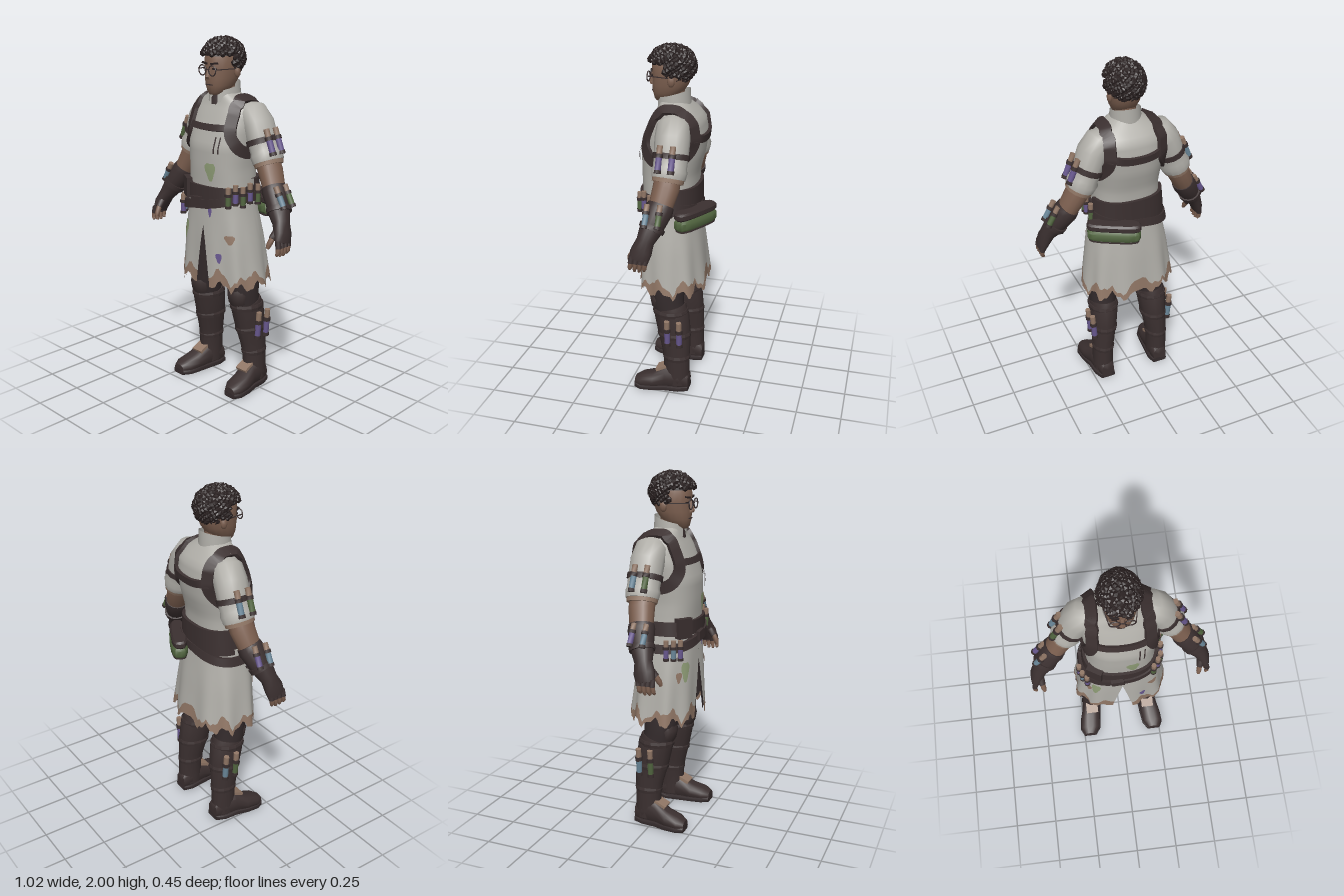
import * as THREE from 'three';
import { mergeGeometries, toCreasedNormals } from 'three/addons/utils/BufferGeometryUtils.js';

const V = (x, y, z) => new THREE.Vector3(x, y, z);
const mat = (name, color, side = THREE.FrontSide) => {
  const m = new THREE.MeshStandardMaterial({ color, side });
  m.name = name;
  return m;
};

// Body and coat profile: y, centre z, half width, half depth
const BODY = [[0.55, 0.02, 0.28, 0.193], [0.9, 0.035, 0.235, 0.17], [1.1, 0.045, 0.2, 0.15], [1.2, 0.045, 0.19, 0.15],
  [1.3, 0.045, 0.185, 0.155], [1.42, 0.03, 0.195, 0.17], [1.52, 0.01, 0.205, 0.16], [1.6, 0, 0.2, 0.135],
  [1.65, 0.01, 0.165, 0.1], [1.7, 0.03, 0.075, 0.07]];
const signPow = (c, p) => Math.sign(c) * Math.abs(c) ** p;

// Point on the coat at angle a from the front (+x is a = PI/2)
function bodyPoint(a, y, off = 0) {
  let i = 0;
  while (i < BODY.length - 2 && y > BODY[i + 1][0]) i++;
  const p = BODY[i], q = BODY[i + 1], t = (y - p[0]) / (q[0] - p[0]);
  const [zc, rx, rz] = [1, 2, 3].map((k) => p[k] + (q[k] - p[k]) * t);
  const fold = y < 1.05 ? 0.02 * (1.05 - y) * Math.sin(a * 9) : 0;
  return V(signPow(Math.sin(a), 0.8) * (rx + off + fold), y, zc + signPow(Math.cos(a), 0.8) * (rz + off + fold));
}

// Surface from a rule f(u, v)
function grid(nu, nv, f) {
  const pos = [], idx = [];
  for (let j = 0; j <= nv; j++) for (let i = 0; i <= nu; i++) pos.push(...f(i / nu, j / nv).toArray());
  for (let j = 0; j < nv; j++) for (let i = 0; i < nu; i++) {
    const a = j * (nu + 1) + i, c = a + nu + 1;
    idx.push(a, a + 1, c, a + 1, c + 1, c);
  }
  const g = new THREE.BufferGeometry();
  g.setAttribute('position', new THREE.Float32BufferAttribute(pos, 3));
  g.setIndex(idx);
  return g;
}

// Closed solid through elliptical rings [x, y, z, side radius, other radius]
function sweep(rings, { ref = V(0, 0, 1), seg = 14, pow = 1, dir = null } = {}) {
  const pos = [], idx = [], c = rings.map((r) => V(r[0], r[1], r[2])), n = rings.length;
  rings.forEach((r, i) => {
    const t = dir ? dir.clone() : c[Math.min(i + 1, n - 1)].clone().sub(c[Math.max(i - 1, 0)]).normalize();
    const side = t.clone().cross(ref).normalize(), up = side.clone().cross(t);
    for (let j = 0; j < seg; j++) {
      const w = (j / seg) * Math.PI * 2;
      pos.push(...c[i].clone().addScaledVector(side, signPow(Math.cos(w), pow) * r[3])
        .addScaledVector(up, signPow(Math.sin(w), pow) * (r[4] ?? r[3])).toArray());
    }
  });
  pos.push(...c[0].toArray(), ...c[n - 1].toArray());
  for (let j = 0; j < seg; j++) {
    const k = (j + 1) % seg, e = (n - 1) * seg;
    for (let i = 0; i < n - 1; i++) {
      const a = i * seg + j, b = i * seg + k;
      idx.push(a, a + seg, b, b, a + seg, b + seg);
    }
    idx.push(n * seg, j, k, n * seg + 1, e + k, e + j);
  }
  const g = new THREE.BufferGeometry();
  g.setAttribute('position', new THREE.Float32BufferAttribute(pos, 3));
  g.setIndex(idx);
  return g;
}

// Leather band lying on the body along [angle, y] points
function strap(path, half, off, closed = false) {
  const curve = new THREE.CatmullRomCurve3(path.map(([a, y]) => V(a, y, 0)), closed);
  const at = (t) => { const p = curve.getPoint(t); return bodyPoint(p.x, p.y); };
  const section = [[-1, -0.012], [-1, off], [1, off], [1, -0.012]];
  return grid(64, 3, (u, v) => {
    const p = curve.getPoint(u), c = bodyPoint(p.x, p.y), e = 0.004;
    const tan = at(Math.min(u + e, 1)).sub(at(Math.max(u - e, 0))).normalize();
    const nrm = bodyPoint(p.x + e, p.y).sub(bodyPoint(p.x - e, p.y))
      .cross(bodyPoint(p.x, p.y + e).sub(bodyPoint(p.x, p.y - e))).normalize();
    const [w, h] = section[Math.round(v * 3)];
    return c.addScaledVector(nrm.clone().cross(tan).normalize(), w * half).addScaledVector(nrm, h);
  });
}

export function createModel() {
  const root = new THREE.Group();
  const coat = mat('coat cloth', 0xb0aea8, THREE.DoubleSide), leather = mat('dark leather', 0x3b3030, THREE.DoubleSide);
  const trouser = mat('dark trousers', 0x342b2c, THREE.DoubleSide), hairMat = mat('black hair', 0x2a2121);
  const skin = mat('brown skin', 0x7d6050), tan = mat('tan dirt', 0x917766, THREE.DoubleSide);
  const green = mat('bottle green', 0x526640), paleGreen = mat('pale green', 0x8d9b75);
  const purple = mat('violet fluid', 0x68588f), blue = mat('blue fluid', 0x6a8799);

  const add = (name, geo, m, crease = 0.7, parent = root) => {
    const mesh = new THREE.Mesh(toCreasedNormals(geo, crease), m);
    mesh.name = name;
    parent.add(mesh);
    return mesh;
  };
  const box = (name, m, size, p, rot = [0, 0, 0]) => {
    const b = add(name, new THREE.BoxGeometry(...size), m);
    b.position.set(...p);
    b.rotation.set(...rot);
    return b;
  };
  // Glass tube with tan stopper, dark clip and base
  const vial = (p, tilt, m, len = 0.14, r = 0.016) => {
    const g = new THREE.Group();
    g.name = 'vial';
    [['glass', m, 0.55, r, -0.12], ['stopper', tan, 0.28, r * 0.95, 0.3], ['base', leather, 0.12, r * 1.15, -0.44], ['clip', leather, 0.13, r * 1.25, 0.1]]
      .forEach(([n, mm, h, rr, y]) => { add(n, new THREE.CylinderGeometry(rr, rr, h * len, 8), mm, 0.9, g).position.y = y * len; });
    g.position.set(...p);
    g.rotation.z = tilt;
    root.add(g);
  };

  // Coat body
  add('coatBody', grid(48, 24, (u, v) => bodyPoint(u * Math.PI * 2, 1.08 + v * 0.62)), coat, 0.9);

  // Split skirt with ragged, dirty hem and dark lining
  const tri = (x) => Math.abs((x - Math.floor(x)) * 2 - 1);
  const hemLow = (u) => 0.605 + 0.055 * tri(u * 11 + 0.5) + 0.025 * tri(u * 27);
  const hemHigh = (u) => hemLow(u) + 0.05 + 0.025 * Math.sin(u * 40);
  const skirt = (lo, hi, off, rows) => grid(88, rows, (u, v) => {
    const y = lo(u) + (hi(u) - lo(u)) * v, gap = 0.15 * THREE.MathUtils.clamp((0.97 - y) / 0.33, 0, 1);
    return bodyPoint(gap + u * (Math.PI * 2 - 2 * gap), y, off);
  });
  add('skirt', skirt(hemHigh, () => 1.14, 0, 8), coat, 0.5);
  add('skirtHem', skirt(hemLow, hemHigh, 0, 2), tan, 0.5);
  add('skirtLining', skirt((u) => hemLow(u) + 0.02, () => 1.1, -0.01, 6), trouser, 0.5);

  // Stains painted on the cloth: angle, y, angular radius, height radius
  [[0.22, 1.29, 0.16, 0.05, paleGreen], [-0.62, 0.93, 0.14, 0.055, paleGreen], [-0.85, 0.9, 0.1, 0.03, tan], [0.17, 1.06, 0.05, 0.025, purple],
    [0.4, 0.81, 0.08, 0.028, purple], [0.75, 0.92, 0.16, 0.025, tan]].forEach(([a, y, ra, ry, m]) =>
    add('stain', grid(14, 3, (u, v) => {
      const w = u * Math.PI * 2, r = (1 - v) * (1 + 0.2 * Math.sin(w * 3));
      return bodyPoint(a + Math.cos(w) * ra * r, y + Math.sin(w) * ry * r, 0.005);
    }), m));

  // Breast pocket with tools
  const pocket = (a, y, w, h, m, off) => add('pocket', grid(3, 3, (u, v) => bodyPoint(a + (u - 0.5) * w, y + (v - 0.5) * h, off)), m);
  pocket(0.42, 1.41, 0.28, 0.1, coat, 0.008);
  [0.34, 0.48].forEach((a) => pocket(a, 1.435, 0.04, 0.09, leather, 0.013));

  // Collar, open at the throat, and inner scarf
  add('collar', grid(24, 2, (u, v) => {
    const a = 0.35 + u * (Math.PI * 2 - 0.7), back = (1 - Math.cos(a)) / 2;
    return V(Math.sin(a) * (0.088 - 0.008 * v), 1.65 + v * (0.06 + 0.05 * back), 0.03 + Math.cos(a) * (0.092 - 0.004 * v));
  }), coat, 1);
  add('scarf', sweep([[0, 1.62, 0.05, 0.07, 0.07], [0, 1.67, 0.045, 0.066, 0.068], [0, 1.7, 0.04, 0.055, 0.06]], { dir: V(0, 1, 0) }), leather);

  // Head and face
  add('neck', sweep([[0, 1.6, 0.03, 0.058], [0, 1.8, 0.03, 0.055]], { dir: V(0, 1, 0) }), skin, 1);
  add('head', sweep([[0, 1.69, 0.1, 0.03, 0.03], [0, 1.705, 0.085, 0.05, 0.055], [0, 1.74, 0.065, 0.07, 0.083], [0, 1.78, 0.052, 0.08, 0.098],
    [0, 1.83, 0.042, 0.086, 0.107], [0, 1.88, 0.045, 0.086, 0.106], [0, 1.93, 0.045, 0.07, 0.09], [0, 1.965, 0.045, 0.03, 0.04]],
  { dir: V(0, 1, 0), seg: 18, pow: 0.88 }), skin, 1.1);
  add('nose', sweep([[0, 1.775, 0.148, 0.02, 0.016], [0, 1.787, 0.152, 0.019, 0.02], [0, 1.835, 0.145, 0.009, 0.012]], { dir: V(0, 1, 0), seg: 8 }), skin);
  box('mouth', leather, [0.045, 0.006, 0.008], [0, 1.745, 0.146]);
  for (const s of [-1, 1]) {
    box('brow', hairMat, [0.045, 0.01, 0.009], [s * 0.036, 1.858, 0.146], [0, s * 0.2, s * 0.1]);
    box('eye', hairMat, [0.026, 0.008, 0.008], [s * 0.036, 1.83, 0.143], [0, s * 0.2, 0]);
    add('spectacleRim', new THREE.TorusGeometry(0.027, 0.0035, 5, 16), leather).position.set(s * 0.037, 1.822, 0.163);
    box('spectacleArm', leather, [0.005, 0.005, 0.15], [s * 0.08, 1.828, 0.09], [0, s * -0.2, 0]);
    const ear = add('ear', new THREE.SphereGeometry(0.03, 8, 6), skin, 1.2);
    ear.scale.set(0.45, 1, 0.7);
    ear.position.set(s * 0.09, 1.81, 0.025);
  }
  box('spectacleBridge', leather, [0.02, 0.005, 0.005], [0, 1.826, 0.165]);

  // Curly hair: small faceted curls spread over the scalp
  const curls = [];
  for (let i = 0; i < 420; i++) {
    const h = 1 - (2 * (i + 0.5)) / 420, w = i * 2.39996, r = Math.sqrt(1 - h * h);
    const p = V(Math.cos(w) * r * 0.1, 1.882 + h * 0.1, 0.042 + Math.sin(w) * r * 0.122);
    const hairline = p.z > 0.06 ? 1.905 : p.z > 0.0 ? 1.835 : 1.785;
    if (p.y < hairline) continue;
    const c = new THREE.IcosahedronGeometry(0.013 + 0.003 * (i % 3), 0);
    c.rotateX(i).rotateY(i * 1.7).translate(p.x, p.y, p.z);
    curls.push(c);
  }
  const scalp = new THREE.SphereGeometry(1, 16, 8, 0, Math.PI * 2, 0, 1.45).toNonIndexed();
  curls.push(scalp.scale(0.1, 0.1, 0.12).translate(0, 1.885, 0.042));
  add('hair', mergeGeometries(curls), hairMat, 0.3);

  // Harness and belts
  const TAU = Math.PI * 2, loop = [[1.57, 1.667], [1.02, 1.65], [0.74, 1.6], [0.72, 1.52], [1.0, 1.44], [1.57, 1.39], [2.14, 1.44], [2.42, 1.52], [2.4, 1.6], [2.12, 1.65]];
  for (const s of [-1, 1]) add('shoulderStrap', strap(loop.map(([a, y]) => [s * a, y]), 0.032, 0.016, true), leather);
  add('chestStrap', strap([[-0.75, 1.525], [0, 1.52], [0.75, 1.525]], 0.018, 0.014), leather);
  add('backStrap', strap([[2.35, 1.53], [Math.PI, 1.51], [3.93, 1.53]], 0.02, 0.014), leather);
  add('waistBelt', strap([0, 1, 2, 3, 4, 5, 6].map((i) => [(i * TAU) / 6, 1.165]), 0.038, 0.016), leather);
  add('backBelt', strap([[1.7, 1.17], [Math.PI, 1.17], [4.58, 1.17]], 0.072, 0.02), leather);
  add('slungBelt', strap([0, 1, 2, 3, 4, 5, 6, 7, 8].map((i) => [(i * TAU) / 8, 1.1 + 0.045 * Math.sin((i * TAU) / 8)]), 0.024, 0.026), leather);
  box('buckle', leather, [0.07, 0.05, 0.02], [-0.03, 1.115, 0.222], [0, 0, 0.1]);
  box('hipPouch', leather, [0.09, 0.11, 0.05], [-0.145, 1.17, 0.165], [0, -0.55, 0]);
  const onBelt = (a, y, m) => vial(bodyPoint(a, y, 0.03).toArray(), 0, m, 0.12, 0.015);
  [green, purple, green, purple, green].forEach((m, i) => onBelt(0.8 + i * 0.24, 1.16 + 0.015 * (i % 2), m));
  [purple, blue, purple].forEach((m, i) => onBelt(-0.9 - i * 0.22, 1.06, m));

  // Bag slung behind the left hip
  const bag = new THREE.Group();
  bag.name = 'hipBag';
  const lump = (y, h, L, d) => sweep([[0, y, 0, L * 0.93, d * 0.8], [0, y + h * 0.25, 0, L, d], [0, y + h * 0.75, 0, L, d], [0, y + h, 0, L * 0.93, d * 0.8]],
    { dir: V(0, 1, 0), seg: 16, pow: 0.6 });
  add('bagBody', lump(-0.055, 0.065, 0.148, 0.05), green, 0.6, bag);
  add('bagFlap', lump(0.005, 0.045, 0.15, 0.045), leather, 0.6, bag);
  add('bagBase', lump(-0.065, 0.02, 0.14, 0.044), leather, 0.6, bag);
  bag.position.set(0.135, 1.09, -0.125);
  bag.rotation.y = -0.5;
  root.add(bag);

  for (const s of [-1, 1]) {
    const limb = (name, rings, m, opt, crease = 0.9) => add(name, sweep(rings.map(([x, ...r]) => [s * x, ...r]), opt), m, crease);

    // Sleeve with rolled cuff and strap
    limb('sleeve', [[0.12, 1.62, -0.005, 0.045, 0.06], [0.165, 1.595, -0.01, 0.078, 0.09], [0.205, 1.54, -0.015, 0.084, 0.095], [0.24, 1.45, -0.017, 0.08, 0.092],
      [0.262, 1.4, -0.017, 0.078, 0.09], [0.27, 1.38, -0.016, 0.088, 0.096], [0.285, 1.345, -0.014, 0.08, 0.09]], coat);
    limb('sleeveFringe', [[0.28, 1.355, -0.014, 0.079, 0.088], [0.293, 1.325, -0.012, 0.074, 0.084]], tan);
    limb('armStrap', [[0.234, 1.465, -0.017, 0.087, 0.099], [0.245, 1.437, -0.017, 0.087, 0.099]], leather);
    // Forearm, glove and fingers
    limb('forearm', [[0.27, 1.37, -0.012, 0.062, 0.07], [0.305, 1.3, -0.008, 0.064, 0.072], [0.35, 1.21, 0.01, 0.056, 0.064], [0.385, 1.15, 0.025, 0.05, 0.055]], skin);
    limb('glove', [[0.345, 1.22, 0.008, 0.062, 0.07], [0.36, 1.195, 0.014, 0.068, 0.074], [0.40, 1.13, 0.035, 0.058, 0.064], [0.425, 1.09, 0.05, 0.055, 0.058], [0.45, 1.05, 0.065, 0.044, 0.048],
      [0.475, 1.0, 0.08, 0.034, 0.058], [0.487, 0.955, 0.092, 0.024, 0.054]], leather);
    limb('gloveBand', [[0.405, 1.122, 0.036, 0.066, 0.071], [0.418, 1.1, 0.044, 0.066, 0.069]], leather);
    for (let i = 0; i < 4; i++) {
      const z = 0.052 + i * 0.026, d = 0.008 * Math.abs(i - 1.4);
      limb('fingerGlove', [[0.486, 0.975, z, 0.016], [0.494, 0.935, z + 0.004, 0.0155]], leather, { seg: 8 });
      limb('finger', [[0.492, 0.945, z + 0.003, 0.0135], [0.494, 0.91, z + 0.008, 0.0125], [0.485, 0.885 + d, z + 0.012, 0.008]], skin, { seg: 8 });
    }
    limb('thumbGlove', [[0.455, 1.02, 0.1, 0.022], [0.448, 0.98, 0.135, 0.019]], leather, { seg: 8 });
    limb('thumb', [[0.449, 0.985, 0.131, 0.016], [0.443, 0.95, 0.152, 0.015], [0.44, 0.93, 0.16, 0.009]], skin, { seg: 8 });

    // Legs, knee pads and tall boots
    limb('trouserLeg', [[0.085, 1.08, 0.04, 0.09, 0.11], [0.1, 0.92, 0.035, 0.098, 0.115], [0.125, 0.76, 0.035, 0.092, 0.105], [0.145, 0.62, 0.032, 0.085, 0.098],
      [0.15, 0.55, 0.03, 0.08, 0.092], [0.158, 0.44, 0, 0.07, 0.085]], trouser);
    limb('boot', [[0.152, 0.52, 0.018, 0.082, 0.096], [0.157, 0.47, 0.004, 0.084, 0.1], [0.162, 0.38, -0.01, 0.076, 0.096], [0.173, 0.27, -0.025, 0.066, 0.083],
      [0.178, 0.19, -0.03, 0.06, 0.075], [0.18, 0.1, -0.03, 0.06, 0.075], [0.18, 0.04, -0.03, 0.058, 0.074]], leather);
    [[0.155, 0.5, 0.012, 0.09, 0.104], [0.163, 0.36, -0.012, 0.08, 0.099], [0.176, 0.215, -0.029, 0.067, 0.081]].forEach(([x, y, z, a, b]) =>
      limb('bootStrap', [[x, y + 0.016, z, a - 0.004, b - 0.004], [x, y, z, a, b], [x, y - 0.018, z, a - 0.003, b - 0.003]], leather, undefined, 0.3));
    limb('kneePad', [[0.15, 0.49, 0.07, 0.035, 0.03], [0.15, 0.53, 0.075, 0.062, 0.05], [0.15, 0.58, 0.08, 0.065, 0.055], [0.148, 0.63, 0.075, 0.05, 0.045]], leather, { dir: V(0, 1, 0) });
    const foot = [[0.175, 0.055, -0.104, 0.04, 0.05], [0.18, 0.08, -0.05, 0.058, 0.078], [0.187, 0.075, 0.03, 0.056, 0.073], [0.2, 0.052, 0.1, 0.062, 0.05],
      [0.208, 0.042, 0.17, 0.06, 0.04], [0.212, 0.034, 0.21, 0.036, 0.026]];
    const along = { ref: V(0, 1, 0), dir: V(0, 0, 1), pow: 0.8 };
    limb('shoe', foot, leather, along);
    limb('sole', foot.map(([x, , z, a]) => [x, 0.016, z, a + 0.005, 0.016]), trouser, { ...along, pow: 0.4 });
    box('instepFlap', tan, [0.075, 0.018, 0.07], [s * 0.183, 0.132, 0.055], [0.45, 0, 0]);

    // Vials on upper arms, forearms and calves
    const set = s > 0 ? [purple, purple, blue, green, purple, purple] : [green, blue, blue, purple, green, blue];
    [0.025, -0.045].forEach((z, i) => {
      vial([s * 0.325, 1.465, z], s * 0.38, set[i], 0.155, 0.017);
      vial([s * 0.437, 1.19, z + 0.04], s * 0.5, set[2 + i], 0.135, 0.016);
      vial([s * 0.245, 0.395, z - 0.015], s * -0.08, set[4 + i], 0.175, 0.017);
    });
  }
  return root;
}
